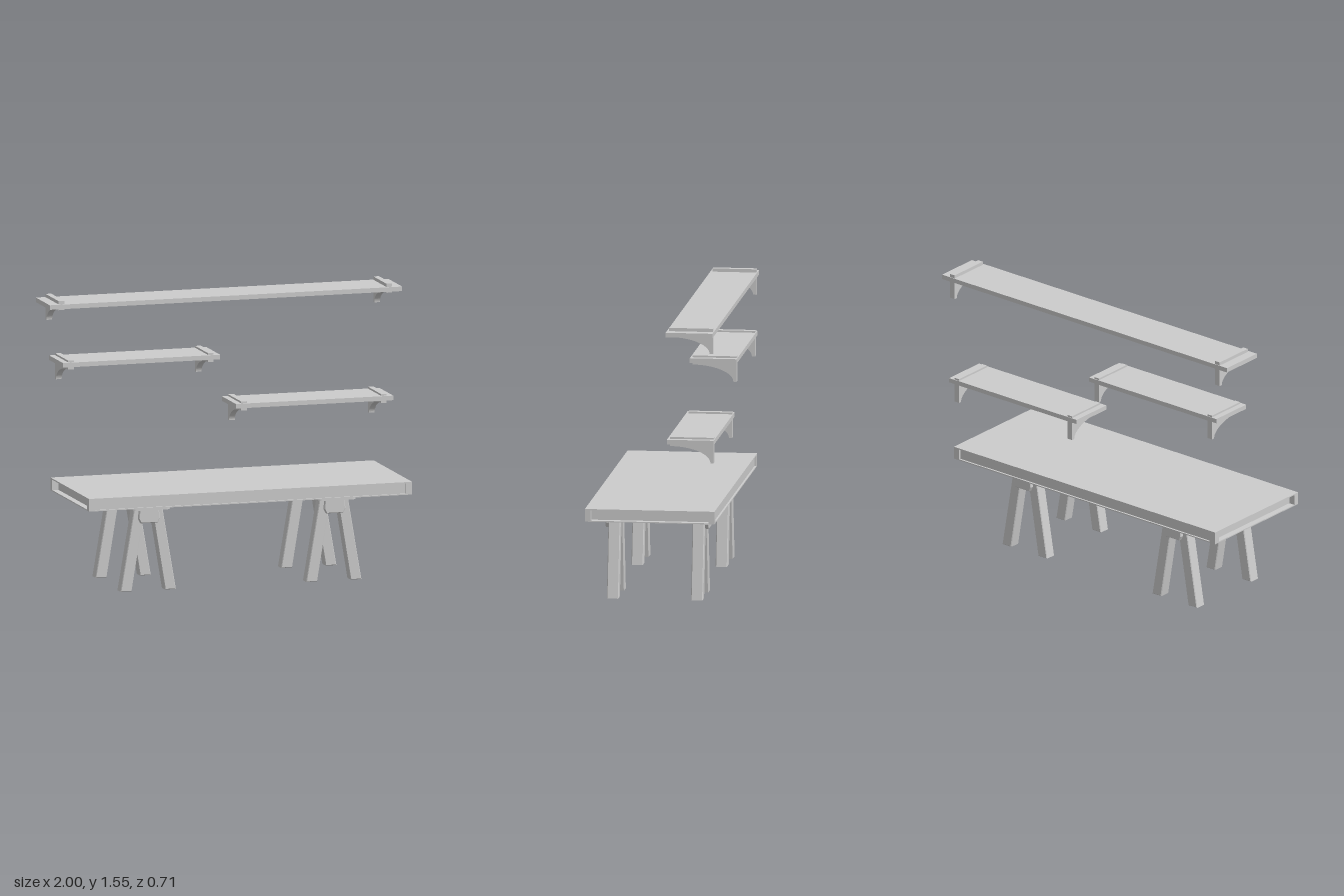
import * as THREE from 'three';

const grey = new THREE.MeshStandardMaterial({ color: 0xcccccc, flatShading: true });

function add(parent, name, geometry, x = 0, y = 0, z = 0) {
  const mesh = new THREE.Mesh(geometry, grey);
  mesh.name = name;
  mesh.position.set(x, y, z);
  parent.add(mesh);
  return mesh;
}

// Box given by its minimum and maximum corners
function box(parent, name, [x0, y0, z0], [x1, y1, z1]) {
  return add(parent, name, new THREE.BoxGeometry(x1 - x0, y1 - y0, z1 - z0),
    (x0 + x1) / 2, (y0 + y1) / 2, (z0 + z1) / 2);
}

// Extrusion of a polygon in x and y, with a small chamfer inside its outline
function prism(points, depth, bevel = 0.004) {
  const shape = new THREE.Shape(points.map(([x, y]) => new THREE.Vector2(x, y)));
  return new THREE.ExtrudeGeometry(shape, {
    depth: depth - 2 * bevel, bevelEnabled: true, bevelSize: bevel,
    bevelThickness: bevel, bevelOffset: -bevel, bevelSegments: 1,
  }).translate(0, 0, bevel - depth / 2);
}

// Table top: two sheets, a set-back core and flush corner blocks
function createTableTop() {
  const top = new THREE.Group();
  top.name = 'tableTop';
  const X = 0.917, Z = 0.354;
  box(top, 'topSheet', [-X, 0.53, -Z], [X, 0.537, Z]);
  box(top, 'bottomSheet', [-X, 0.467, -Z], [X, 0.473, Z]);
  box(top, 'core', [-X + 0.035, 0.473, -Z + 0.01], [X - 0.035, 0.53, Z - 0.01]);
  for (const sx of [-1, 1]) for (const sz of [-1, 1]) {
    add(top, 'cornerBlock', new THREE.BoxGeometry(0.038, 0.057, 0.032),
      sx * (X - 0.019), 0.5015, sz * (Z - 0.016));
  }
  return top;
}

// Trestle: rounded mounting plate, two splayed leg pairs and outer end caps
function createTrestle(x) {
  const trestle = new THREE.Group();
  trestle.name = 'trestle';
  trestle.position.x = x;

  const w = 0.11, d = 0.325, r = 0.025;
  const outline = new THREE.Shape();
  outline.moveTo(-w + r, -d);
  outline.lineTo(w - r, -d);
  outline.absarc(w - r, -d + r, r, -Math.PI / 2, 0);
  outline.absarc(w - r, d - r, r, 0, Math.PI / 2);
  outline.absarc(-w + r, d - r, r, Math.PI / 2, Math.PI);
  outline.absarc(-w + r, -d + r, r, Math.PI, Math.PI * 1.5);
  const plate = new THREE.ExtrudeGeometry(outline, { depth: 0.016, bevelEnabled: false, curveSegments: 5 });
  add(trestle, 'mountingPlate', plate.rotateX(-Math.PI / 2), 0, 0.452, 0);

  for (const sz of [-1, 1]) {
    for (const sx of [-1, 1]) {
      const points = [[0.095, 0], [0.157, 0], [0.08, 0.455], [0.02, 0.455]].map(([px, py]) => [sx * px, py]);
      if (sx < 0) points.reverse();
      add(trestle, 'leg', prism(points, 0.065), 0, 0, 0.005 + sz * 0.23);
    }
    const cap = prism([[-0.048, 0.375], [0.048, 0.375], [0.06, 0.4], [0.054, 0.455], [-0.054, 0.455], [-0.06, 0.4]], 0.05);
    add(trestle, 'legCap', cap, 0, 0, 0.005 + sz * 0.258);
  }
  return trestle;
}

// Curved bracket, drawn in z and y and extruded across x
function bracketGeometry() {
  const shape = new THREE.Shape();
  shape.moveTo(0.35, 0);
  shape.lineTo(0.35, 0.14);
  shape.lineTo(0.11, 0.14);
  shape.lineTo(0.11, 0.09);
  shape.absellipse(0.11, 0, 0.222, 0.09, Math.PI / 2, 0, true);
  shape.closePath();
  return new THREE.ExtrudeGeometry(shape, { depth: 0.032, bevelEnabled: false, curveSegments: 14 })
    .translate(0, 0, -0.016).rotateY(Math.PI / 2);
}

// Wall shelf: a board carried by two brackets that rise just above it
function createShelf({ x0, x1, inset, boardY, bottom }) {
  const shelf = new THREE.Group();
  shelf.name = 'wallShelf';
  box(shelf, 'shelfBoard', [x0, boardY, -0.354], [x1, boardY + 0.025, -0.098]);
  for (const x of [x0 + inset, x1 - inset]) {
    add(shelf, 'shelfBracket', bracketGeometry(), x, bottom, 0);
  }
  return shelf;
}

export function createModel() {
  const model = new THREE.Group();
  model.name = 'deskWithShelves';
  model.add(createTableTop());
  for (const x of [-0.553, 0.5]) model.add(createTrestle(x));
  const shelves = [
    { x0: -1, x1: 1, inset: 0.07, boardY: 1.507, bottom: 1.41 },
    { x0: -0.925, x1: -0.033, inset: 0.049, boardY: 1.185, bottom: 1.08 },
    { x0: 0.056, x1: 0.95, inset: 0.05, boardY: 0.909, bottom: 0.804 },
  ];
  for (const shelf of shelves) model.add(createShelf(shelf));
  return model;
}
